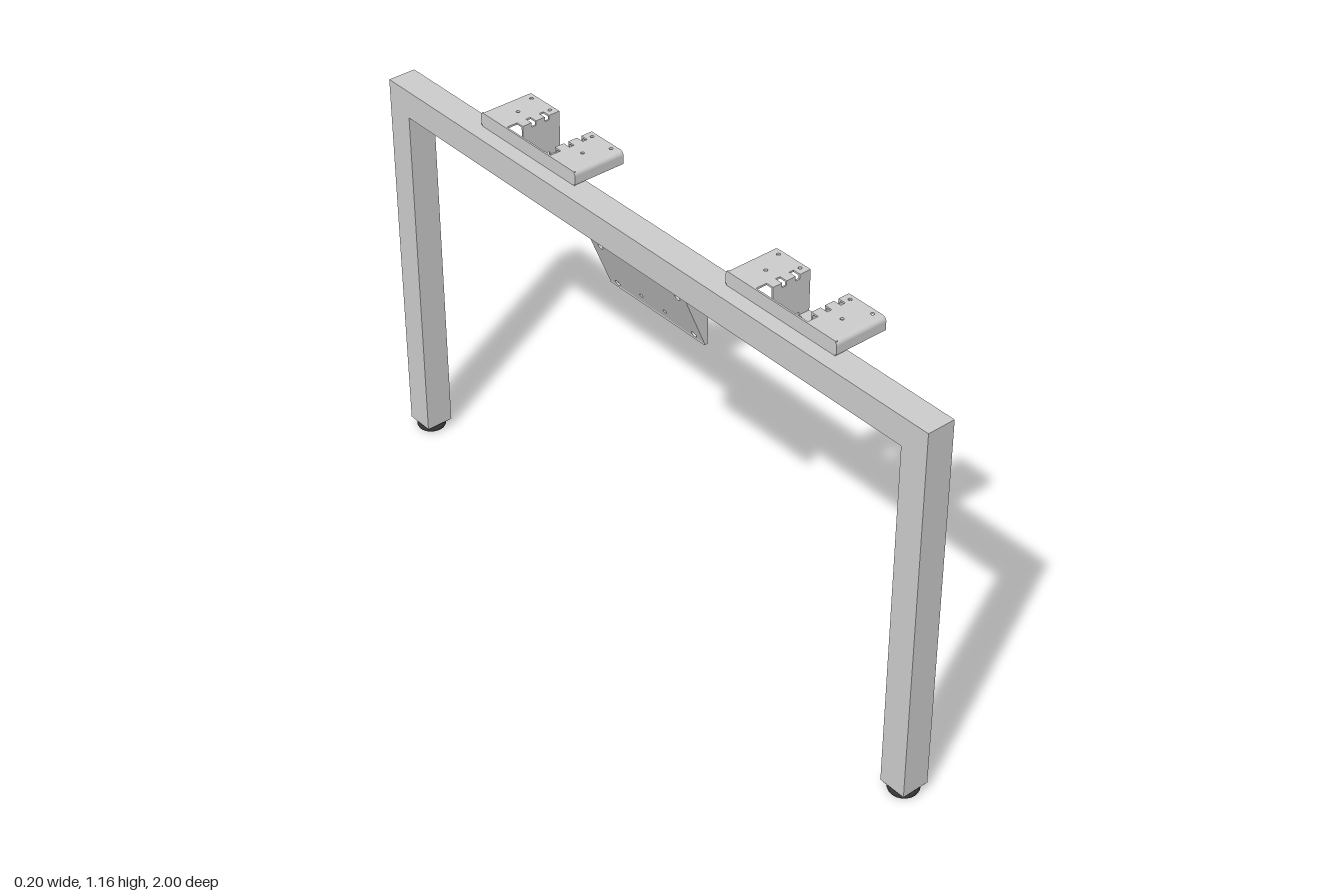
import * as THREE from 'three';

const grey = new THREE.MeshStandardMaterial({ color: 0xcccccc, side: THREE.DoubleSide });
const dark = new THREE.MeshStandardMaterial({ color: 0x333333 });
const T = 0.005; // sheet thickness

function shapeOf(points, holes = []) {
  const shape = new THREE.Shape(points.map(([a, b]) => new THREE.Vector2(a, b)));
  for (const [a, b, r] of holes) shape.holes.push(new THREE.Path().absarc(a, b, r, 0, Math.PI * 2, true));
  return shape;
}
const extrude = (shape, depth) =>
  new THREE.ExtrudeGeometry(shape, { depth, bevelEnabled: false, curveSegments: 10 });

// Profile given as (z, y), running along x from x0 to x1
const alongX = (shape, x0, x1) => extrude(shape, x1 - x0).rotateY(-Math.PI / 2).translate(x1, 0, 0);
// Flat sheet given as (x, z), with its top at y
const flat = (shape, y) => extrude(shape, T).rotateX(Math.PI / 2).translate(0, y, 0);

function add(group, name, geometry, material = grey) {
  const mesh = new THREE.Mesh(geometry, material);
  mesh.name = name;
  group.add(mesh);
  return mesh;
}

// Edge from x = a to x = b at height v, with two notches reaching to v + d
function notchedEdge(a, b, v, d) {
  const pts = [[a, v]];
  for (const c of [0.015, 0.057]) {
    pts.push([c - 0.007, v], [c - 0.007, v + d], [c + 0.007, v + d], [c + 0.007, v]);
  }
  pts.push([b, v]);
  return pts;
}

// Hat-shaped table top bracket, centred on z = 0
function makeBracket() {
  const g = new THREE.Group();
  const back = -0.057, tube = -0.02, front = 0.097;
  const inner = 0.07, outer = 0.19, top = 1.16, low = 1.04, r = 0.012;

  for (const s of [1, -1]) {
    // Upper flange with slots at the bend and screw holes
    const flange = [[back, s * (outer - r)], [back, s * 0.088], [tube, s * 0.088],
      ...notchedEdge(tube, front, s * inner, s * 0.018), [front, s * (outer - r)]];
    const holes = [[0.082, s * 0.085, 0.005], [0.015, s * 0.13, 0.005], [0.082, s * 0.16, 0.005]];
    add(g, 'flange', flat(shapeOf(flange, holes), top));

    // Outer lip, bent down over a small radius
    const lip = [];
    for (let i = 0; i <= 5; i++) {
      const a = (Math.PI / 2) * (1 - i / 5);
      lip.push([s * (outer - r + r * Math.cos(a)), top - r + r * Math.sin(a)]);
    }
    lip.push([s * outer, 1.124], [s * (outer - T), 1.124]);
    for (let i = 5; i >= 0; i--) {
      const a = (Math.PI / 2) * (1 - i / 5);
      lip.push([s * (outer - r + (r - T) * Math.cos(a)), top - r + (r - T) * Math.sin(a)]);
    }
    add(g, 'outerLip', alongX(shapeOf(lip), back, front));

    // Channel wall, notched at both bends
    const wall = [...notchedEdge(tube, front, low, 0.013), ...notchedEdge(tube, front, top, -0.013).reverse()];
    add(g, 'channelWall', extrude(shapeOf(wall), T).translate(0, 0, s > 0 ? inner - T : -inner));
  }

  // Channel floor with slots and a square opening
  const floor = shapeOf([...notchedEdge(tube, front, -inner, 0.018),
    ...notchedEdge(tube, front, inner, -0.018).reverse()]);
  floor.holes.push(new THREE.Path([[0.075, -0.013], [0.075, 0.013], [0.088, 0.013], [0.088, -0.013]]
    .map(([x, z]) => new THREE.Vector2(x, z))));
  add(g, 'channelFloor', flat(floor, low + T));

  // Rear lip resting on the beam
  add(g, 'rearLip', new THREE.BoxGeometry(T, top - 1.12, 2 * (outer - 0.004))
    .translate(back + T / 2, (top + 1.12) / 2, 0));
  return g;
}

// Sloping tray under the beam with triangular cheeks
function makeTray() {
  const g = new THREE.Group();
  g.name = 'underBeamTray';
  const half = 0.18, top = 1.04, low = 0.88, x0 = -0.095, x1 = -0.03;
  const length = Math.hypot(x1 - x0, top - low);

  // Sloped panel with corner holes and two small slots
  const holes = [];
  for (const z of [-0.145, 0.145]) for (const v of [0.016, length - 0.016]) holes.push([z, v, 0.009]);
  for (const z of [-0.045, 0.045]) holes.push([z, 0.035, 0.006]);
  const panel = add(g, 'trayPanel', extrude(shapeOf(
    [[-half, 0], [half, 0], [half, length], [-half, length]], holes), T).rotateY(Math.PI / 2));
  panel.position.set(x1, low, 0);
  panel.rotation.z = Math.atan2(x1 - x0, top - low);

  // Cheeks, fixing flange and bottom lip
  for (const z of [-half, half - T]) {
    add(g, 'trayCheek', extrude(shapeOf(
      [[x0, top], [x1, low], [-0.022, low], [-0.022, top]]), T).translate(0, 0, z));
  }
  for (const z of [-0.155, 0.155]) {
    add(g, 'trayFlange', new THREE.BoxGeometry(0.07, T, 0.04).translate(-0.058, top - T / 2, z));
  }
  add(g, 'trayLip', new THREE.BoxGeometry(0.01, T, 2 * half).translate(-0.027, low + T / 2, 0));
  return g;
}

export function createModel() {
  const model = new THREE.Group();
  const size = 0.08, cx = -0.06, bottom = 0.025, top = 1.12;

  // Two legs and the beam as one square-section arch
  const arch = [[-1, bottom], [-1 + size, bottom], [-1 + size, top - size], [1 - size, top - size],
    [1 - size, bottom], [1, bottom], [1, top], [-1, top]];
  add(model, 'legFrame', alongX(shapeOf(arch), cx - size / 2, cx + size / 2));

  // End caps and levelling feet
  const profile = [[0, 0], [0.034, 0], [0.039, 0.004], [0.041, 0.009], [0.038, 0.015], [0.03, 0.018], [0.022, 0.019],
    [0.022, 0.024], [0, 0.024]].map(([r, y]) => new THREE.Vector2(r, y));
  for (const s of [1, -1]) {
    const foot = new THREE.Group();
    foot.name = 'foot';
    add(foot, 'levellingFoot', new THREE.LatheGeometry(profile, 32), dark);
    add(foot, 'endCap', new THREE.BoxGeometry(size - 0.004, 0.004, size - 0.004).translate(0, 0.024, 0), dark);
    foot.position.set(cx, 0, s * (1 - size / 2));
    model.add(foot);

    const bracket = makeBracket();
    bracket.name = 'topBracket';
    bracket.position.z = s * 0.47;
    model.add(bracket);
  }

  model.add(makeTray());
  return model;
}
